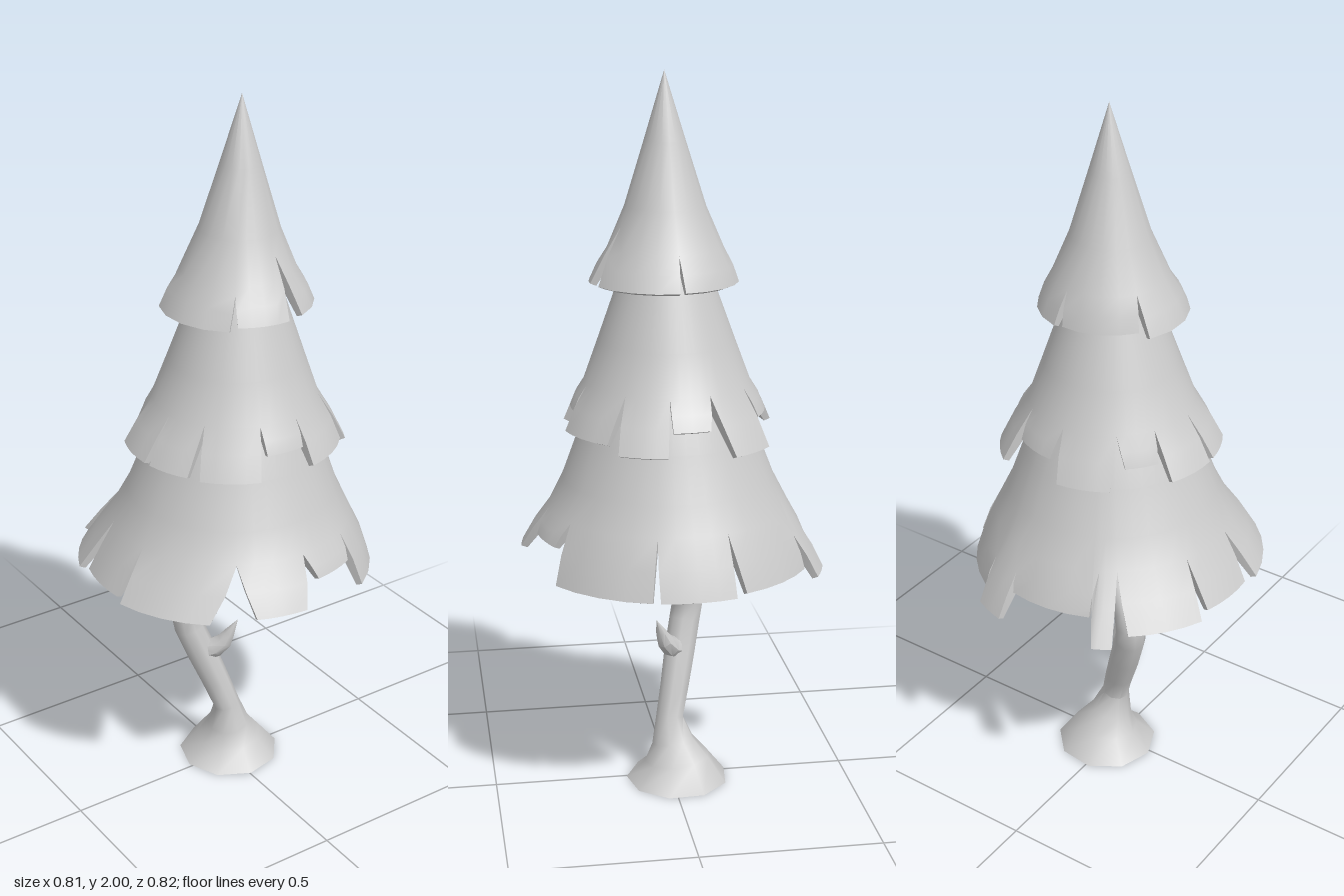
import * as THREE from 'three';
import { toCreasedNormals } from 'three/addons/utils/BufferGeometryUtils.js';

const material = new THREE.MeshStandardMaterial({ color: 0xcccccc });
const lerp = THREE.MathUtils.lerp;
const rad = THREE.MathUtils.degToRad;

// Adds a triangle, leaving out collapsed ones
function tri(out, a, b, c) {
  if (a.distanceTo(b) < 1e-6 || b.distanceTo(c) < 1e-6 || a.distanceTo(c) < 1e-6) return;
  out.push(...a.toArray(), ...b.toArray(), ...c.toArray());
}

// Skins rows of points running from top to bottom
function skin(out, rows) {
  for (let i = 0; i + 1 < rows.length; i++) {
    for (let j = 0; j + 1 < rows[i].length; j++) {
      const a = rows[i][j], b = rows[i + 1][j], c = rows[i][j + 1], d = rows[i + 1][j + 1];
      tri(out, a, c, d);
      tri(out, a, d, b);
    }
  }
}

function toMesh(out, name, crease) {
  const g = new THREE.BufferGeometry();
  g.setAttribute('position', new THREE.Float32BufferAttribute(out, 3));
  const mesh = new THREE.Mesh(toCreasedNormals(g, crease), material);
  mesh.name = name;
  return mesh;
}

// Tapered bent limb; rings [x, y, z, radius] run from the top down, square to the path
function limb(name, rings, sides) {
  const centres = rings.map(([x, y, z]) => new THREE.Vector3(x, y, z));
  const down = new THREE.Vector3(0, -1, 0);
  const rows = rings.map(([, , , r], i) => {
    const from = centres[Math.max(i - 1, 0)], to = centres[Math.min(i + 1, rings.length - 1)];
    const turn = new THREE.Quaternion().setFromUnitVectors(down, to.clone().sub(from).normalize());
    return Array.from({ length: sides + 1 }, (_, j) => {
      const a = ((j % sides) / sides) * Math.PI * 2 + 0.3;
      return new THREE.Vector3(r * Math.cos(a), 0, r * Math.sin(a)).applyQuaternion(turn).add(centres[i]);
    });
  });
  const out = [];
  skin(out, rows);
  return toMesh(out, name, 0.9);
}

// Point on a skirt; the crown leans slightly with height
function crownPoint(angle, r, y) {
  const lean = Math.sqrt(Math.max(0, (y - 0.7) / 1.3));
  const a = rad(angle);
  return new THREE.Vector3(0.035 * lean + r * Math.cos(a), y, 0.02 * lean + r * Math.sin(a));
}

// Thick conical skirt with a notched hem and a shallow domed underside.
// profile: [radius, y] from tip to the top of the notches
// flaps: [start angle, end angle, hem radius, hem y, extra height of the notch before it]
function skirt(name, profile, flaps) {
  const out = [], steps = 4, n = flaps.length, top = profile.length - 1;
  const insets = [0.034, 0.025, 0.016];
  const [baseR, baseY] = profile[top];
  flaps.forEach(([a0, a1, r, y, lift0 = 0], i) => {
    const next = flaps[(i + 1) % n];
    const lift1 = next[4] ?? 0;
    const s0 = (flaps[(i + n - 1) % n][1] - (i === 0 ? 360 : 0) + a0) / 2;
    const s1 = (a1 + next[0] + (i === n - 1 ? 360 : 0)) / 2;
    // Each level is [radius, y, start angle, end angle, share of notch lift]
    const levels = profile.map(([pr, py], k) => [pr, py, s0, s1, k === top ? 1 : 0]);
    for (const t of [0.5, 1]) {
      levels.push([lerp(baseR, r, t) + (t < 1 ? 0.004 : 0), lerp(baseY, y, t),
        lerp(s0, a0, t), lerp(s1, a1, t), 1 - t]);
    }
    const rowAt = ([pr, py, b0, b1, share], inset) => Array.from({ length: steps + 1 }, (_, j) => {
      const lift = share * (j === 0 ? lift0 : j === steps ? lift1 : 0);
      return crownPoint(lerp(b0, b1, j / steps), Math.max(0, pr - inset - lift * 0.5), py + lift - inset * 0.4);
    });
    const outer = levels.map((l) => rowAt(l, 0));
    const inner = levels.slice(top).map((l, k) => rowAt(l, insets[k]));
    const dome = [[0.65, 0.035], [0, 0.055]].map(([k, h]) => rowAt([baseR * k, baseY + h, s0, s1, 0], 0));
    skin(out, [...outer, ...inner.slice().reverse(), ...dome]);
    // Cut sides of the notches
    for (let k = 0; k + 1 < inner.length; k++) {
      const corners = [outer[top + k], outer[top + k + 1], inner[k + 1], inner[k]];
      const [a, b, c, d] = corners.map((row) => row[0]);
      tri(out, a, b, c);
      tri(out, a, c, d);
      const [e, f, g, h] = corners.map((row) => row[steps]);
      tri(out, e, g, f);
      tri(out, e, h, g);
    }
  });
  return toMesh(out, name, 0.75);
}

export function createModel() {
  const tree = new THREE.Group();
  tree.name = 'tree';

  // Crooked trunk with a flared foot
  tree.add(limb('trunk', [
    [0.04, 0.93, 0.02, 0], [0.04, 0.93, 0.02, 0.03], [0.037, 0.8, 0.01, 0.044],
    [0.012, 0.7, -0.012, 0.043], [-0.044, 0.6, -0.042, 0.043], [-0.086, 0.54, -0.063, 0.044],
    [-0.096, 0.5, -0.068, 0.044], [-0.088, 0.44, -0.057, 0.044], [-0.057, 0.35, -0.037, 0.044],
    [-0.025, 0.26, -0.018, 0.041], [0.001, 0.18, 0, 0.039], [0.012, 0.11, -0.007, 0.06],
    [0.022, 0.06, -0.018, 0.093], [0.022, 0, -0.018, 0.145], [0.022, 0, -0.018, 0],
  ], 9));

  // Small broken branch
  tree.add(limb('twig', [
    [0.014, 0.48, 0.04, 0], [-0.003, 0.435, 0.024, 0.016], [-0.012, 0.405, 0.012, 0.024],
    [-0.03, 0.38, -0.008, 0.03], [-0.065, 0.36, -0.042, 0.032],
  ], 7));

  // Three tiers of foliage
  tree.add(skirt('lowerFoliage',
    [[0, 1.5], [0.16, 1.25], [0.245, 1.03], [0.29, 0.91], [0.33, 0.83]], [
      [-17, 12, 0.405, 0.675], [15, 57, 0.405, 0.675], [64, 84, 0.37, 0.765],
      [93, 113, 0.41, 0.71], [130, 167, 0.415, 0.7], [172, 197, 0.395, 0.7],
      [202, 231, 0.415, 0.69], [237, 244, 0.445, 0.67], [246, 282, 0.38, 0.72, -0.06],
      [284, 297, 0.425, 0.65, -0.06], [301, 338, 0.395, 0.68, -0.06],
    ]));
  tree.add(skirt('middleFoliage',
    [[0, 1.78], [0.07, 1.62], [0.135, 1.43], [0.185, 1.29], [0.225, 1.18]], [
      [-16, 5, 0.275, 1.1], [8, 33, 0.305, 1.04], [41, 78, 0.29, 1.06],
      [81, 105, 0.262, 1.11], [110, 142, 0.29, 1.05], [148, 172, 0.3, 1.06],
      [176, 204, 0.3, 1.06], [208, 228, 0.26, 1.1], [237, 266, 0.29, 1.05],
      [274, 302, 0.265, 1.1], [308, 333, 0.31, 1.03],
    ]));
  tree.add(skirt('upperFoliage',
    [[0, 2], [0.055, 1.82], [0.108, 1.65], [0.155, 1.54]], [
      [-2, 69, 0.202, 1.45], [84, 124, 0.205, 1.45, 0.06], [130, 207, 0.208, 1.44, -0.02],
      [213, 278, 0.185, 1.45], [284, 353, 0.195, 1.45],
    ]));

  return tree;
}
